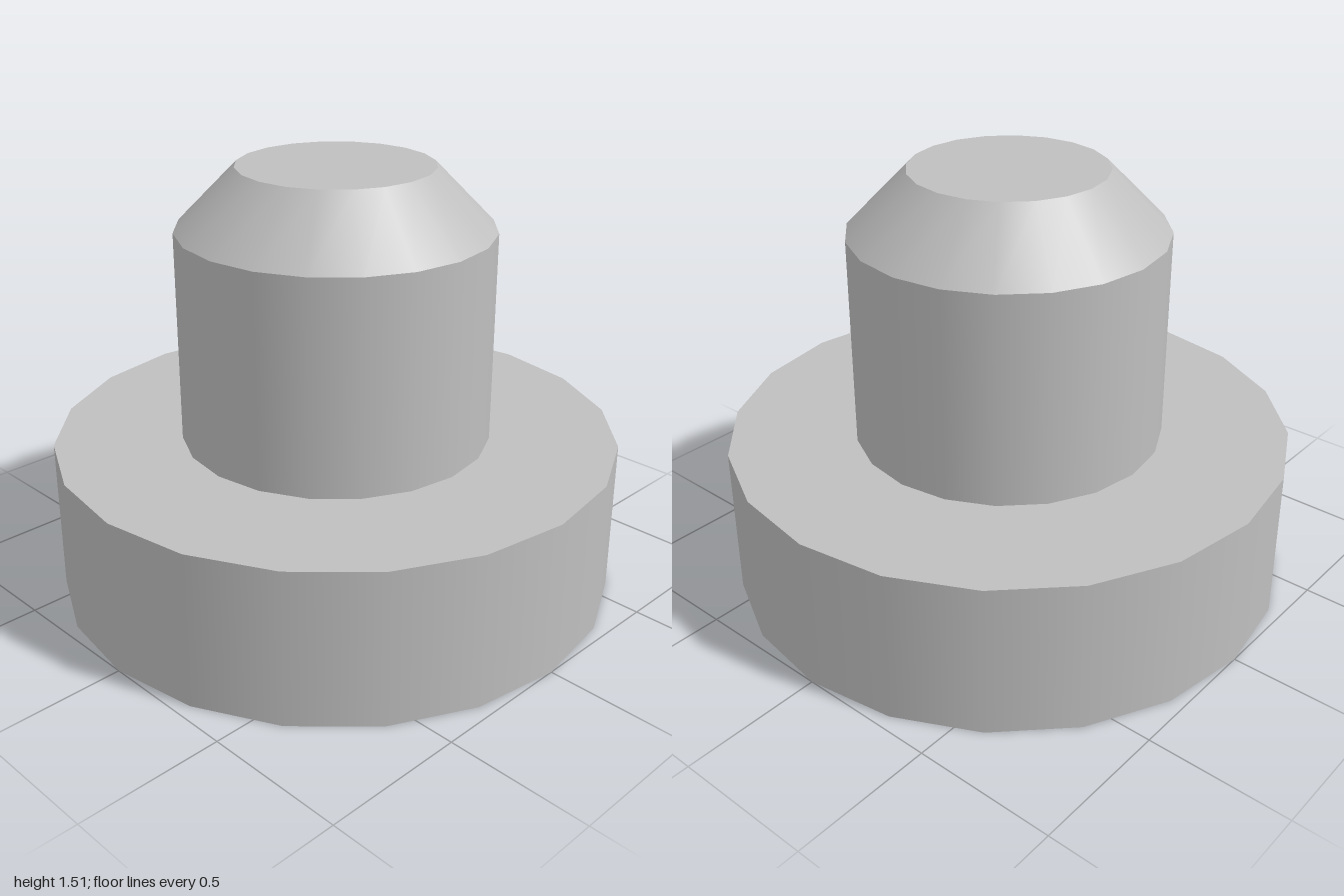
import * as THREE from 'three';

const SIDES = 20;

export function createModel() {
  const model = new THREE.Group();
  model.name = 'steppedPin';
  const grey = new THREE.MeshStandardMaterial({ color: 0xbfbfbf });
  grey.name = 'plain grey';

  // One round section standing between two heights
  const addSection = (name, bottomRadius, topRadius, y0, y1) => {
    const geometry = new THREE.CylinderGeometry(topRadius, bottomRadius, y1 - y0, SIDES);
    geometry.translate(0, (y0 + y1) / 2, 0);
    // Drop the hidden lower cap where the section sits on another
    if (y0 > 0) geometry.setIndex([...geometry.index.array].slice(0, -SIDES * 3));
    geometry.clearGroups();
    const mesh = new THREE.Mesh(geometry, grey);
    mesh.name = name;
    model.add(mesh);
  };

  addSection('baseFlange', 1, 1, 0, 0.55);
  addSection('shaft', 0.55, 0.55, 0.55, 1.3);
  addSection('chamferedTip', 0.55, 0.34, 1.3, 1.515);

  return model;
}
